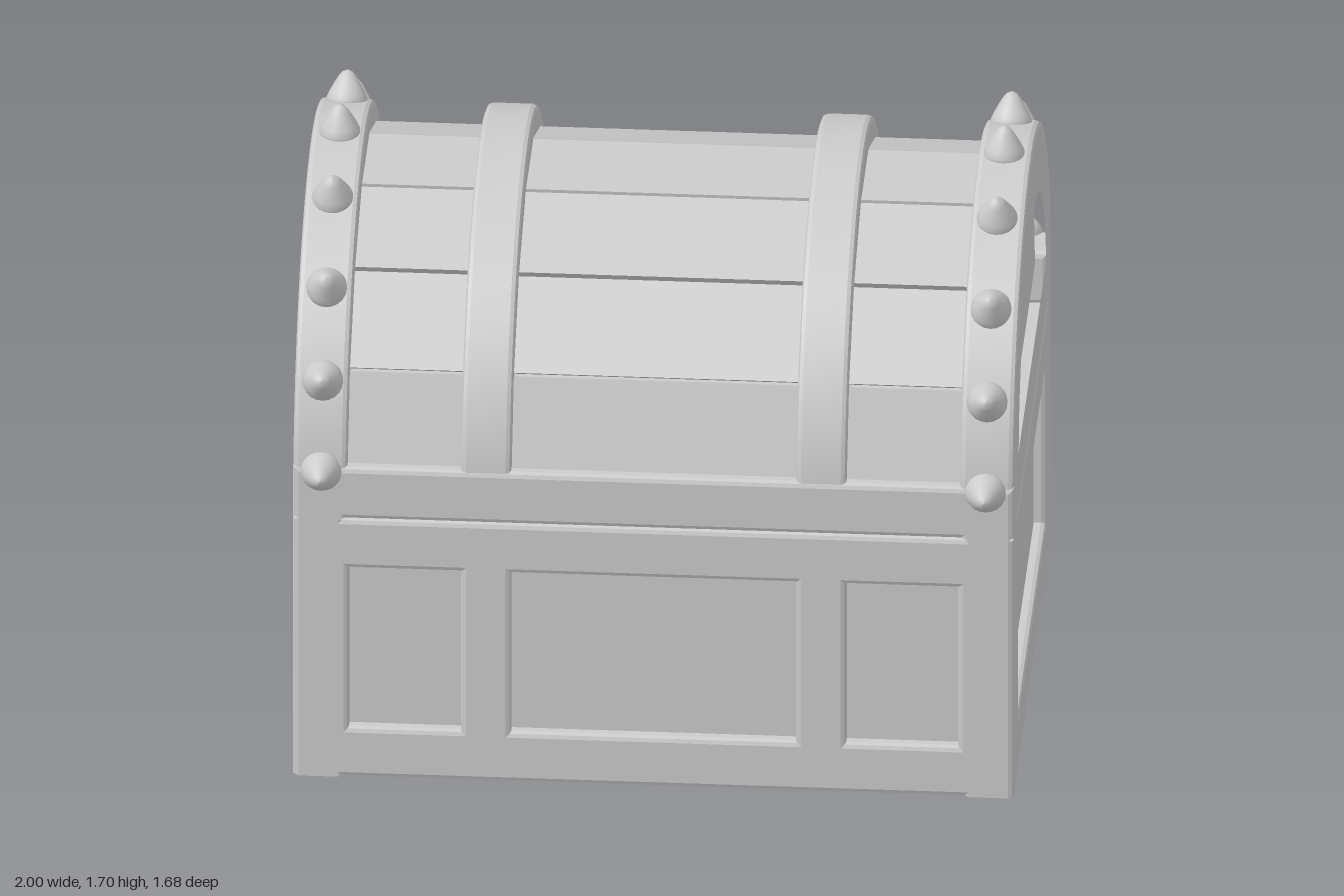
import * as THREE from 'three';
import { toCreasedNormals } from 'three/addons/utils/BufferGeometryUtils.js';

const MAT = new THREE.MeshStandardMaterial({ color: 0xcccccc });
const W = 1, D = 0.76, SEAM = 0.81, WALL = 0.14, BEVEL = 0.015;
const SPRING = 0.88, RISE = 0.74; // lid arch: springing height and rise
const rad = THREE.MathUtils.degToRad;

// Points of a half ellipse, from -90 to 90 degrees off vertical
function arc(a, b, y, n = 32) {
  return Array.from({ length: n + 1 }, (_, i) => {
    const t = rad(-90 + (180 * i) / n);
    return new THREE.Vector2(a * Math.sin(t), y + b * Math.cos(t));
  });
}

function rect(x0, x1, y0, y1) {
  return [[x0, y0], [x1, y0], [x1, y1], [x0, y1]].map(p => new THREE.Vector2(...p));
}

// Bevelled slab of a given total thickness, centred on its thickness
function slab(points, thickness, holes = [], bevel = BEVEL) {
  const shape = new THREE.Shape(points);
  shape.holes = holes.map(h => new THREE.Path(h));
  const geo = new THREE.ExtrudeGeometry(shape, {
    depth: thickness - 2 * bevel, bevelEnabled: bevel > 0, bevelSize: bevel,
    bevelThickness: bevel, bevelOffset: -bevel, bevelSegments: 2,
  });
  geo.translate(0, 0, -thickness / 2 + bevel);
  return toCreasedNormals(geo, 0.2);
}

export function createModel() {
  const root = new THREE.Group();
  root.name = 'treasureChest';
  const add = (name, geo, parent = root) => {
    const mesh = new THREE.Mesh(geo, MAT);
    mesh.name = name;
    parent.add(mesh);
    return mesh;
  };

  // Base: four framed walls with thin recessed panels, open underneath
  const base = new THREE.Group();
  base.name = 'base';
  root.add(base);
  const longOpenings = [[-0.845, -0.535], [-0.395, 0.395], [0.535, 0.845]]
    .map(([a, b]) => rect(a, b, 0.155, 0.655));
  const longWall = slab(rect(-W, W, 0, SEAM), WALL, longOpenings);
  const longPanel = new THREE.BoxGeometry(1.8, 0.6, 0.03);
  const endWall = slab(rect(-D, D, 0, SEAM), WALL, [rect(-0.565, 0.565, 0.155, 0.655)]).rotateY(Math.PI / 2);
  const endPanel = new THREE.BoxGeometry(0.03, 0.6, 1.3);
  for (const s of [1, -1]) {
    add(s > 0 ? 'frontWall' : 'backWall', longWall, base).position.z = s * (D - WALL / 2);
    add(s > 0 ? 'frontPanels' : 'backPanels', longPanel, base).position.set(0, 0.405, s * (D - 0.05));
    add('endWall', endWall, base).position.x = s * (W - WALL / 2);
    add('endPanel', endPanel, base).position.set(s * (W - 0.05), 0.405, 0);
  }

  // Lid: arched end frames, rails and hoops
  const lid = new THREE.Group();
  lid.name = 'lid';
  root.add(lid);
  const archOutline = [new THREE.Vector2(-D, SEAM), ...arc(D, RISE, SPRING), new THREE.Vector2(D, SEAM)];
  const endFrame = slab(archOutline, 0.15, [arc(0.565, 0.465, 0.965)]).rotateY(Math.PI / 2);
  const lidPanel = slab(arc(0.61, 0.52, 0.94), 0.03, [], 0).rotateY(Math.PI / 2);
  const rail = slab(rect(-W, W, SEAM, 0.97), WALL);
  const hoopOutline = [
    new THREE.Vector2(-D, 0.83), ...arc(D, RISE, SPRING), new THREE.Vector2(D, 0.83),
    new THREE.Vector2(0.65, 0.83), ...arc(0.65, 0.61, SPRING).reverse(), new THREE.Vector2(-0.65, 0.83),
  ];
  const hoop = slab(hoopOutline, 0.14).rotateY(Math.PI / 2);
  for (const s of [1, -1]) {
    add('lidEndFrame', endFrame, lid).position.x = s * (W - 0.075);
    add('lidEndPanel', lidPanel, lid).position.x = s * (W - 0.05);
    add('lidRail', rail, lid).position.z = s * (D - WALL / 2);
    add('lidHoop', hoop, lid).position.x = s * 0.465;
  }

  // Seven flat planks with grooves between them, as one curved shell
  const at = (deg, k) => new THREE.Vector2(
    0.735 * k * Math.sin(rad(deg)), SPRING + 0.67 * k * Math.cos(rad(deg)));
  const outer = [], inner = [];
  for (let i = -3; i <= 3; i++) {
    const c = 24 * i;
    outer.push(at(c - 11.5, 1), at(c + 11.5, 1));
    if (i < 3) outer.push(at(c + 11.7, 0.965), at(c + 12.3, 0.965));
    inner.unshift(at(c + 11.5, 0.9), at(c - 11.5, 0.9));
  }
  add('lidPlanks', slab([...outer, ...inner], 1.8, [], 0).rotateY(Math.PI / 2), lid);

  // Blunt spikes over both end frames and along the back
  const profile = [[0.04, -0.03], [0.056, -0.01], [0.057, 0.005], [0.05, 0.022], [0.038, 0.044],
    [0.025, 0.066], [0.014, 0.079], [0, 0.084]].map(p => new THREE.Vector2(...p));
  const spikeGeo = new THREE.LatheGeometry(profile, 20);
  for (const x of [-0.922, 0.922]) {
    for (const deg of [-84, -64, -44, -22, 0, 22, 44, 64, 84]) {
      const t = rad(deg);
      const spike = add('lidSpike', spikeGeo, lid);
      spike.position.set(x, SPRING + RISE * Math.cos(t), D * Math.sin(t));
      spike.rotation.x = t;
    }
  }
  for (let i = 0; i < 7; i++) {
    const spike = add('backSpike', spikeGeo, base);
    spike.position.set(-0.783 + 0.2455 * i, 0.73, -D);
    spike.rotation.x = -Math.PI / 2;
  }
  return root;
}
